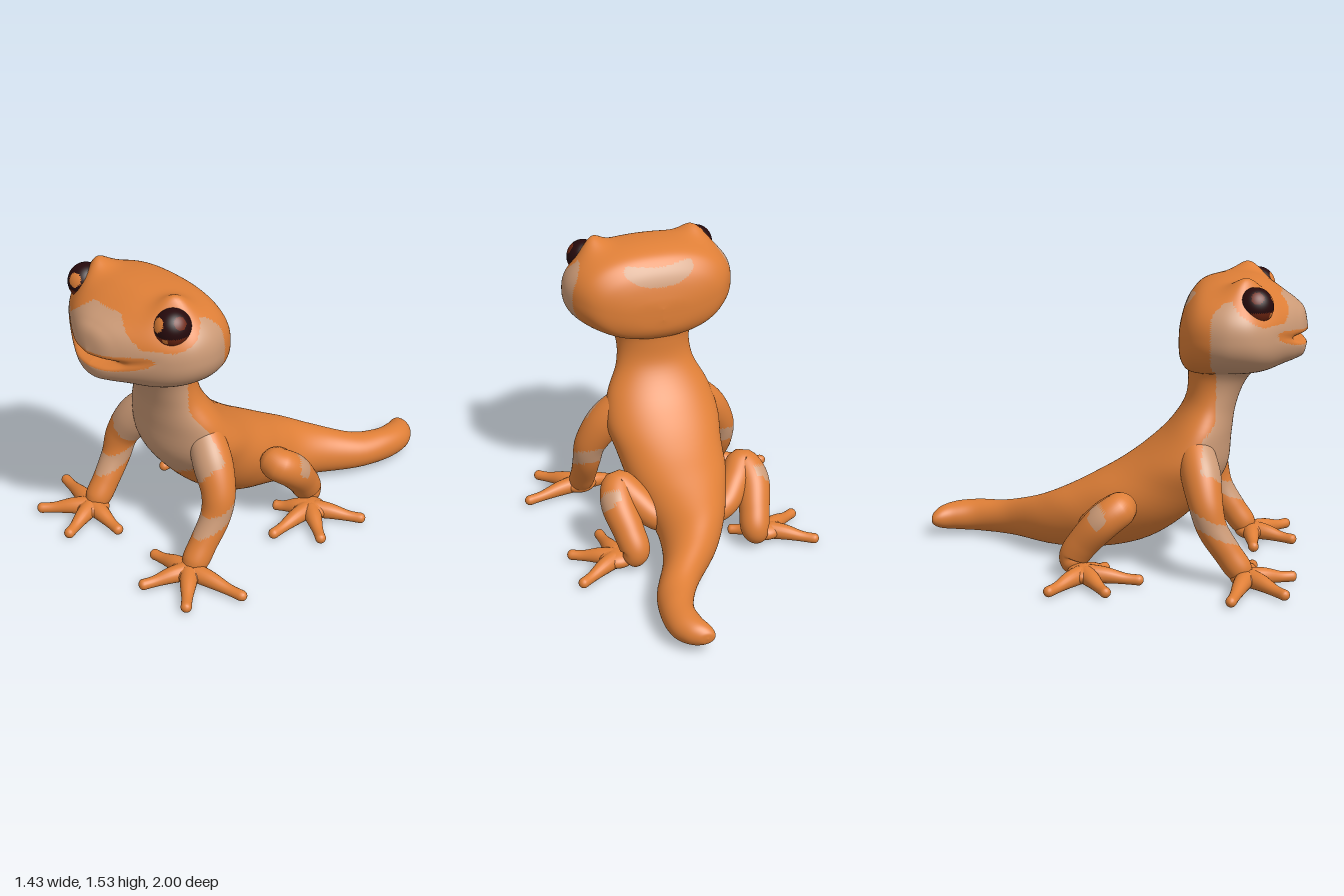
import * as THREE from 'three';

const V = (x, y, z) => new THREE.Vector3(x, y, z);
const step = THREE.MathUtils.smoothstep;
const mat = (name, color) => {
  const m = new THREE.MeshStandardMaterial({ color });
  m.name = name;
  return m;
};

// Smooth closed-around surface; paint(p) picks a material index for each triangle
function surface(name, rows, segs, point, materials, paint) {
  const pts = [];
  for (let i = 0; i <= rows; i++) {
    const t = 0.5 - 0.5 * Math.cos((Math.PI * i) / rows);
    for (let j = 0; j < segs; j++) pts.push(point(t, (j / segs) * Math.PI * 2, j));
  }
  const lists = materials.map(() => []);
  const tri = (a, b, c) => {
    const mid = pts[a].clone().add(pts[b]).add(pts[c]).divideScalar(3);
    lists[paint(mid)].push(a, b, c);
  };
  for (let i = 0; i < rows; i++) {
    for (let j = 0; j < segs; j++) {
      const k = (j + 1) % segs;
      const a = i * segs + j, b = i * segs + k, c = a + segs, d = b + segs;
      tri(a, b, c);
      tri(b, d, c);
    }
  }
  const geo = new THREE.BufferGeometry().setFromPoints(pts);
  geo.setIndex(lists.flat());
  let start = 0;
  lists.forEach((l, i) => {
    if (l.length) geo.addGroup(start, l.length, i);
    start += l.length;
  });
  geo.computeVertexNormals();
  const mesh = new THREE.Mesh(geo, materials);
  mesh.name = name;
  return mesh;
}

const spline = (list) => new THREE.CatmullRomCurve3(list, false, 'catmullrom', 0.5);

// Round limb through [x, y, z, radius] points, with rounded ends
function limb(name, points, rows, segs, cap, materials, paint) {
  const path = spline(points.map((p) => V(p[0], p[1], p[2])));
  const radius = spline(points.map((p, i) => V(p[3], i, 0)));
  let normal = V(0.31, 0.2, 0.93), T, N, B, c, r;
  return surface(name, rows, segs, (t, a, j) => {
    if (j === 0) {
      c = path.getPoint(t);
      T = path.getTangent(t);
      N = normal.clone().addScaledVector(T, -normal.dot(T)).normalize();
      B = T.clone().cross(N);
      normal = N;
      const e = Math.max(0, 1 - Math.min(t, 1 - t) / cap);
      r = radius.getPoint(t).x * Math.sqrt(Math.max(0, 1 - e * e));
    }
    return c.clone().addScaledVector(N, r * Math.cos(a)).addScaledVector(B, r * Math.sin(a));
  }, materials, paint);
}

export function createModel() {
  const model = new THREE.Group();
  model.name = 'lizard';
  const orange = mat('orange skin', 0xdf7f37);
  const tan = mat('tan skin', 0xcd9b77);
  const dark = mat('dark eye', 0x260a0c);
  const brown = mat('brown eye', 0x702611);
  const skin = [orange, tan];

  // Body and tail: [back z, back y, belly z, belly y, centre x, half width]
  const rings = [
    [0.385, 1.13, 0.8, 1.09, 0, 0.26], [0.4, 1.01, 0.7, 0.99, 0, 0.203],
    [0.385, 0.88, 0.645, 0.85, 0, 0.212], [0.3, 0.745, 0.625, 0.7, 0, 0.28],
    [0.18, 0.63, 0.605, 0.53, 0, 0.31], [0.05, 0.535, 0.51, 0.38, 0, 0.285],
    [-0.08, 0.46, 0.36, 0.23, 0, 0.262], [-0.19, 0.4, 0.18, 0.12, 0.01, 0.22],
    [-0.3, 0.345, -0.05, 0.06, 0.035, 0.175], [-0.42, 0.285, -0.3, 0.035, 0.11, 0.143],
    [-0.6, 0.215, -0.54, 0.03, 0.25, 0.108], [-0.75, 0.198, -0.73, 0.025, 0.31, 0.086],
    [-0.87, 0.185, -0.87, 0.03, 0.308, 0.084], [-0.95, 0.165, -0.95, 0.045, 0.275, 0.075],
    [-0.99, 0.135, -0.99, 0.07, 0.25, 0.045], [-1.0, 0.105, -1.0, 0.1, 0.245, 0],
  ];
  const back = spline(rings.map((r) => V(r[4], r[1], r[0])));
  const belly = spline(rings.map((r) => V(r[4], r[3], r[2])));
  const wide = spline(rings.map((r, i) => V(r[5], i, 0)));
  model.add(surface('bodyAndTail', 100, 112, (t, a) => {
    const p = back.getPoint(t), q = belly.getPoint(t);
    const c = p.clone().add(q).multiplyScalar(0.5);
    return c.addScaledVector(p.sub(q), 0.5 * Math.cos(a))
      .add(V(wide.getPoint(t).x * Math.sin(a), 0, 0));
  }, skin, (p) =>
    p.y > 0.385 + 0.08 * step(Math.abs(p.x), 0.03, 0.22)
    && p.z > 0.46 + 0.09 * step(p.y, 0.65, 0.82) ? 1 : 0));

  // Head: [z, top, bottom, half width, height of widest line]
  const slices = [
    [0.352, 1.22, 1.16, 0, 1.19], [0.36, 1.28, 1.1, 0.16, 1.2],
    [0.38, 1.36, 1.06, 0.27, 1.22], [0.41, 1.42, 1.035, 0.345, 1.24],
    [0.46, 1.475, 1.025, 0.4, 1.26], [0.53, 1.503, 1.025, 0.44, 1.26],
    [0.62, 1.515, 1.03, 0.462, 1.26], [0.72, 1.51, 1.037, 0.445, 1.26],
    [0.8, 1.48, 1.052, 0.385, 1.25], [0.88, 1.43, 1.08, 0.275, 1.25],
    [0.94, 1.39, 1.1, 0.18, 1.24], [0.98, 1.345, 1.125, 0.1, 1.23],
    [1.0, 1.25, 1.2, 0, 1.22],
  ];
  const line = spline(slices.map((s) => V(s[3], s[4], s[0])));
  const edge = spline(slices.map((s) => V(s[1], s[2], s[0])));
  const eyeAt = V(0.317, 1.412, 0.738);
  const mouthY = (x) => 1.215 + 0.5 * x * x;
  const headPaint = (p) => {
    const x = Math.abs(p.x);
    const m = p.y - mouthY(x);
    if (p.z < 0.48) {
      // Pale crescent on the back of the head
      return p.y > 1.2 && (x / 0.19) ** 4 + ((p.y - 1.384 - 1.2 * x * x) / 0.047) ** 2 < 1 ? 1 : 0;
    }
    if (p.z < 0.53 + 0.09 * step(p.y, 1.36, 1.48) + 0.04 * step(1.12 - p.y, 0, 0.12)) return 0;
    if (V(x, p.y, p.z).distanceTo(eyeAt) < 0.125) return 0;
    if (x < 0.39 && p.y > 1.44 - 0.75 * Math.max(0, x - 0.1)
      && (p.y > 1.32 + 0.3 * step(x, 0.36, 0.4))) return 0;
    const taper = Math.sqrt(Math.max(0, 1 - (x / 0.315) ** 4));
    return p.z > 0.7 && m < 0.045 * taper && m > -0.036 * taper ? 0 : 1;
  };
  model.add(surface('head', 120, 180, (t, a) => {
    const l = line.getPoint(t), e = edge.getPoint(t);
    const c = Math.cos(a), s = Math.sin(a);
    const half = c > 0 ? e.x - l.y : l.y - e.y;
    const p = V(-l.x * Math.sign(s) * Math.abs(s) ** (c > 0 ? 0.84 : 0.92),
      l.y + half * Math.sign(c) * Math.abs(c) ** 0.84, l.z);
    // Mouth groove
    const x = Math.abs(p.x);
    const g = Math.exp(-(((p.y - mouthY(x)) / 0.018) ** 2)) * step(p.z, 0.82, 0.95);
    p.z -= 0.07 * g * (1 - 0.85 * step(x, 0.06, 0.22));
    // Eye socket, then raised brow
    const d = V(x, p.y, p.z).distanceTo(eyeAt);
    const dent = 0.036 * Math.exp(-((d / 0.085) ** 2));
    const brow = 0.07 * step(p.y, 1.34, 1.46)
      * Math.exp(-(((x - 0.3) / 0.085) ** 2) - ((p.z - 0.71) / 0.1) ** 2);
    p.x -= Math.sign(p.x) * 0.65 * dent;
    p.z -= 0.7 * dent;
    p.y += brow;
    return p;
  }, skin, headPaint));

  // Ball used for eyes and palms
  const ball = (name, c, r, materials, paint) => surface(name, 36, 56, (t, a) => {
    const h = 2 * t - 1, w = Math.sqrt(Math.max(0, 1 - h * h));
    return V(c.x + r.x * w * Math.sin(a), c.y + r.y * h, c.z + r.z * w * Math.cos(a));
  }, materials, paint);

  for (const s of [1, -1]) {
    const side = s > 0 ? 'left' : 'right';
    const flip = (list) => list.map((p) => [p[0] * s, ...p.slice(1)]);

    // Eye with glints
    const centre = V(eyeAt.x * s, eyeAt.y, eyeAt.z);
    const near = (d, x, y, z, r) => d.distanceTo(V(x, y, z).normalize()) < r;
    model.add(ball(side + 'Eye', centre, V(0.087, 0.092, 0.09), [dark, brown, orange], (p) => {
      const d = p.clone().sub(centre).normalize();
      d.x *= s;
      if (near(d, -0.15, 0.38, 0.85, 0.4) || near(d, 0.35, -0.4, 0.85, 0.16)) return 2;
      return d.y < -0.22 || near(d, 0.8, 0.6, 0.15, 0.36) ? 1 : 0;
    }));

    // Front leg with a pale band and pale inner shoulder
    model.add(limb(side + 'FrontLeg', flip([
      [0.12, 0.74, 0.44, 0.05], [0.205, 0.66, 0.455, 0.085], [0.295, 0.55, 0.485, 0.1],
      [0.37, 0.42, 0.515, 0.086], [0.385, 0.3, 0.55, 0.076], [0.382, 0.18, 0.625, 0.07],
      [0.382, 0.09, 0.69, 0.066], [0.384, 0.04, 0.74, 0.03],
    ]), 80, 48, 0.06, skin, (p) => {
      const x = Math.abs(p.x);
      if (Math.abs(p.y - 0.325 + 0.45 * (p.z - 0.54)) < 0.038) return 1;
      return p.z > 0.49 && p.y > 0.43 + 1.3 * (x - 0.28) && p.y < 0.77 ? 1 : 0;
    }));

    // Back leg, folded at the knee, with a pale spot
    model.add(limb(side + 'BackLeg', flip([
      [0.1, 0.21, -0.1, 0.06], [0.2, 0.25, -0.06, 0.072], [0.28, 0.325, 0.015, 0.08],
      [0.345, 0.375, 0.085, 0.086], [0.375, 0.315, 0.005, 0.09], [0.35, 0.2, -0.095, 0.082],
      [0.335, 0.11, -0.15, 0.075], [0.375, 0.05, -0.135, 0.045],
    ]), 80, 48, 0.06, skin, (p) =>
      Math.abs(p.x) > 0.375 && ((p.z + 0.02) / 0.045) ** 2 + ((p.y - 0.355) / 0.055) ** 2 < 1 ? 1 : 0));

    // Feet with four spread toes each: tips as [x, z]
    const feet = {
      Front: { at: [0.383, 0.725], tips: [[0.716, 0.652], [0.588, 0.932], [0.285, 0.972], [0.122, 0.75]] },
      Back: { at: [0.415, -0.09], tips: [[0.663, -0.25], [0.645, 0.055], [0.43, 0.214], [0.24, 0.01]] },
    };
    for (const [end, { at: [x, z], tips }] of Object.entries(feet)) {
      model.add(ball(side + end + 'Palm', V(x * s, 0.055, z), V(0.095, 0.047, 0.085), [orange], () => 0));
      tips.forEach(([tx, tz], i) => {
        const at = (k, y, r) => [x + (tx - x) * k, y, z + (tz - z) * k, r];
        model.add(limb(side + end + 'Toe' + (i + 1), flip([
          at(0, 0.055, 0.05), at(0.35, 0.052, 0.042), at(0.7, 0.038, 0.028), at(1, 0.034, 0.028),
        ]), 24, 20, 0.1, [orange], () => 0));
      });
    }
  }
  return model;
}
